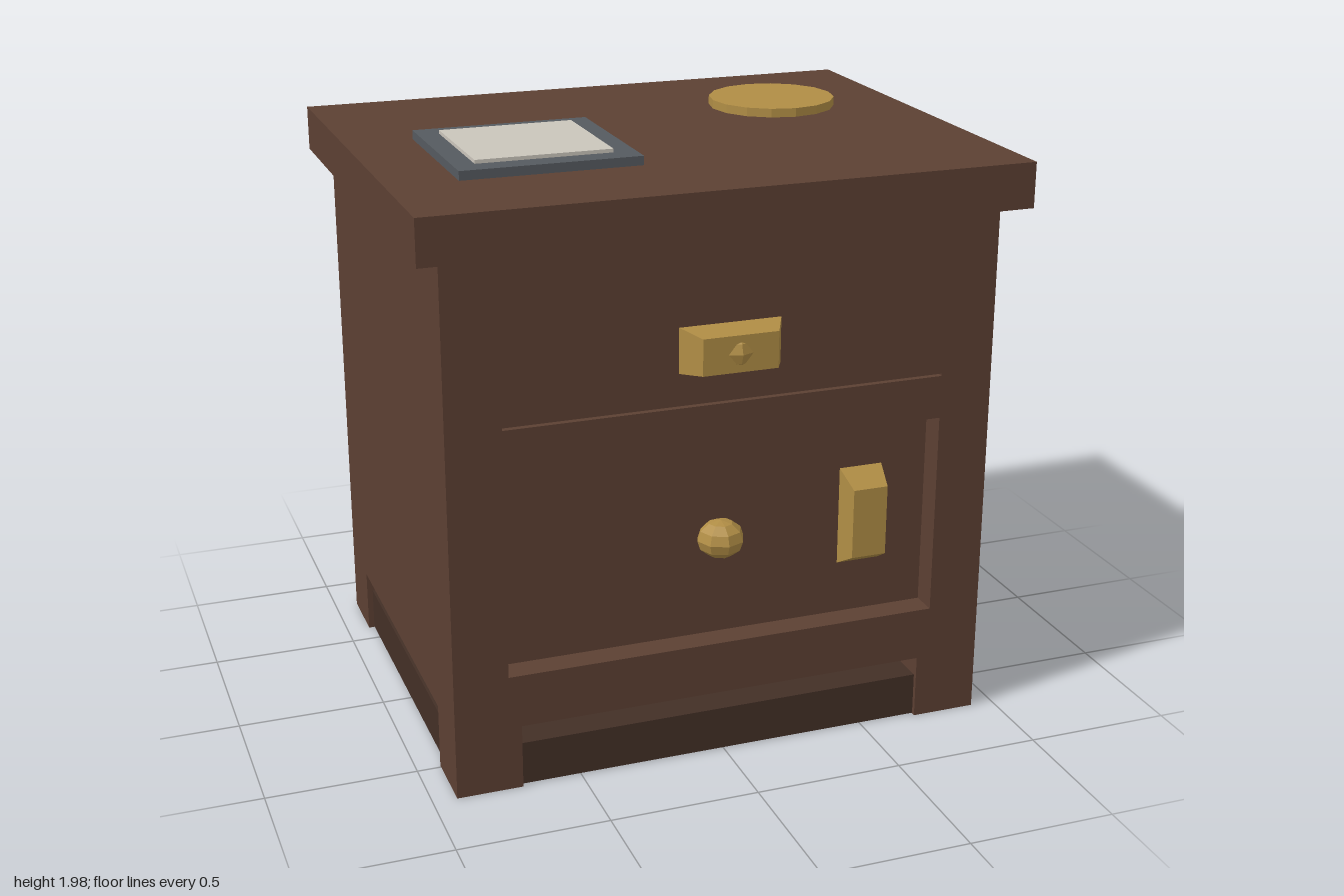
import * as THREE from 'three';

const mat = (color) => new THREE.MeshStandardMaterial({ color, flatShading: true });

export function createModel() {
  const model = new THREE.Group();
  const wood = mat(0x5c4033), darkWood = mat(0x432f26), brass = mat(0xb08d45);
  const slate = mat(0x555a5f), paper = mat(0xcac5bb);

  const add = (name, geometry, material) => {
    const mesh = new THREE.Mesh(geometry, material);
    mesh.name = name;
    model.add(mesh);
    return mesh;
  };
  // Box given by its minimum and maximum on each axis
  const box = (name, material, x0, x1, y0, y1, z0, z1) =>
    add(name, new THREE.BoxGeometry(x1 - x0, y1 - y0, z1 - z0), material)
      .position.set((x0 + x1) / 2, (y0 + y1) / 2, (z0 + z1) / 2);
  const rect = (shape, x0, x1, y0, y1) =>
    shape.moveTo(x0, y0).lineTo(x1, y0).lineTo(x1, y1).lineTo(x0, y1).closePath();

  // Cabinet body, overhanging top and recessed plinth
  box('body', wood, -0.92, 0.92, 0.22, 1.79, -0.81, 0.62);
  box('top', wood, -1, 1, 1.79, 1.94, -0.81, 0.78);
  box('plinth', darkWood, -0.9, 0.9, 0.002, 0.15, -0.735, 0.695);

  // Front frame with the door recess and the drawer gap
  const front = new THREE.Shape();
  rect(front, -0.92, 0.92, 0.22, 1.79);
  for (const [y0, y1] of [[0.4, 1.09], [1.235, 1.243]]) {
    const hole = new THREE.Path();
    rect(hole, -0.74, 0.74, y0, y1);
    front.holes.push(hole);
  }
  add('frontFrame', new THREE.ExtrudeGeometry(front, { depth: 0.09, bevelEnabled: false }), wood)
    .position.z = 0.62;

  // Corner legs
  for (const s of [-1, 1])
    for (const z of [-0.7, 0.6])
      box('leg', wood, s * 0.81 - 0.11, s * 0.81 + 0.11, 0, 0.22, z - 0.11, z + 0.11);

  // Block whose front face is smaller than its back
  const taperedBlock = (name, w, h, depth, frontW, frontH, x, y, z) => {
    const g = new THREE.BoxGeometry(w, h, depth);
    const p = g.attributes.position;
    for (let i = 0; i < p.count; i++)
      if (p.getZ(i) > 0) p.setXY(i, p.getX(i) * frontW / w, p.getY(i) * frontH / h);
    g.computeVertexNormals();
    add(name, g, brass).position.set(x, y, z + depth / 2);
  };
  taperedBlock('drawerPull', 0.34, 0.15, 0.09, 0.25, 0.12, 0, 1.425, 0.71);
  taperedBlock('doorLatch', 0.15, 0.34, 0.085, 0.12, 0.24, 0.505, 0.75, 0.62);

  // Faceted knobs
  for (const [name, y, z] of [['drawerKnob', 1.425, 0.737], ['doorKnob', 0.745, 0.645]]) {
    const knob = add(name, new THREE.SphereGeometry(0.08, 8, 6), brass);
    knob.scale.y = 0.8;
    knob.position.set(0, y, z);
  }

  // Objects on the top
  box('pictureFrame', slate, -0.77, -0.175, 1.94, 1.97, -0.19, 0.405);
  box('picturePanel', paper, -0.7, -0.25, 1.96, 1.982, -0.11, 0.33);
  add('dish', new THREE.CylinderGeometry(0.22, 0.22, 0.03, 16), brass).position.set(0.55, 1.955, -0.3);

  return model;
}
